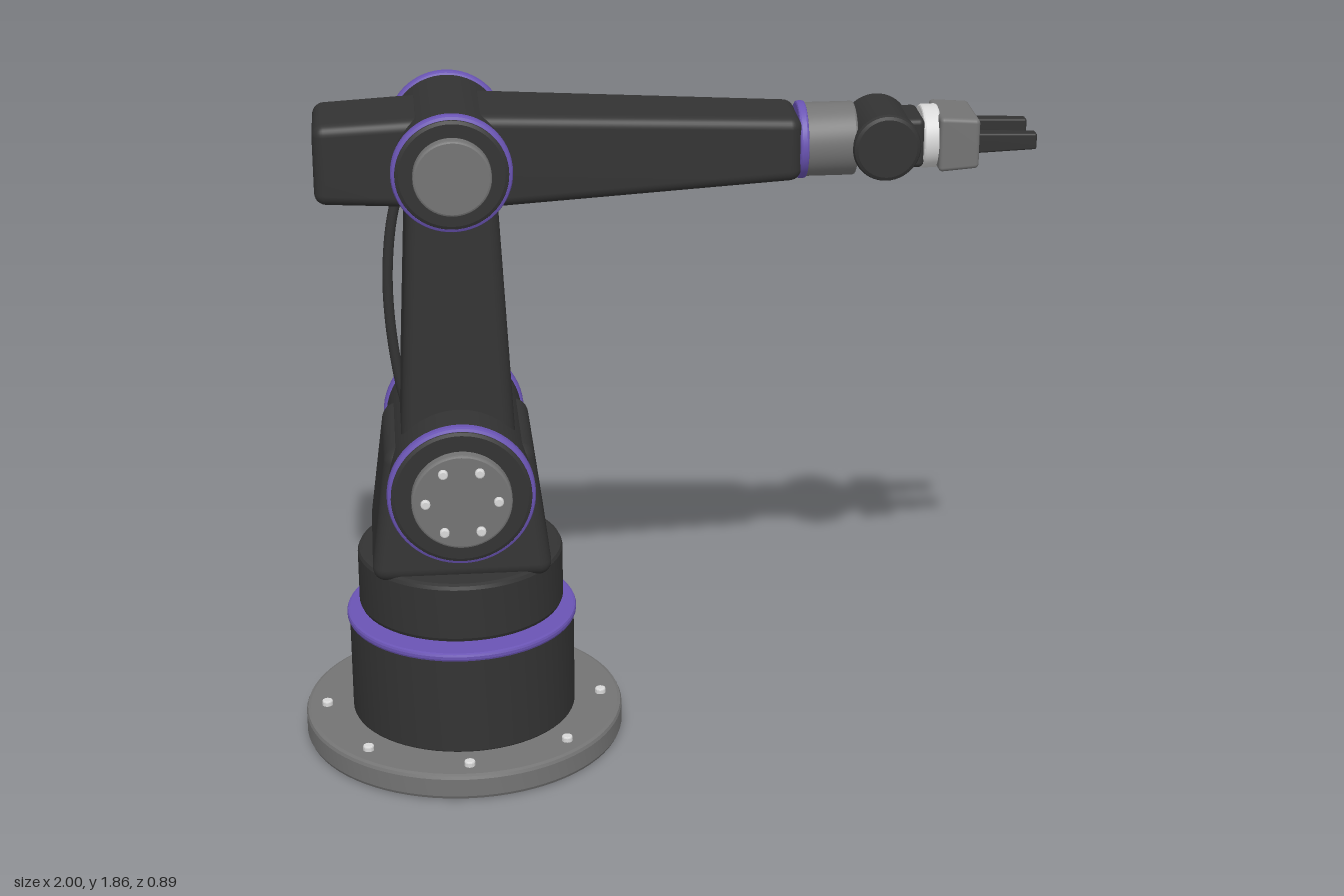
import * as THREE from 'three';
import { mergeVertices, toCreasedNormals } from 'three/addons/utils/BufferGeometryUtils.js';
import { RoundedBoxGeometry } from 'three/addons/geometries/RoundedBoxGeometry.js';

const material = (name, color) => {
  const m = new THREE.MeshStandardMaterial({ color });
  m.name = name;
  return m;
};

export function createModel() {
  const dark = material('charcoal', 0x333333);
  const grey = material('machined grey', 0x747474);
  const purple = material('purple trim', 0x6a54b4);
  const light = material('light metal', 0xd8d8d8);

  const model = new THREE.Group();
  model.name = 'robotArm';
  const X = -0.555; // main vertical axis
  const SHOULDER = 0.84, ELBOW = 1.705;

  function add(name, geometry, mat, x = 0, y = 0, z = 0, parent = model) {
    const mesh = new THREE.Mesh(geometry, mat);
    mesh.name = name;
    mesh.position.set(x, y, z);
    parent.add(mesh);
    return mesh;
  }

  // Solid disc with softened rims, spanning a..b along the chosen axis
  function disc(radius, a, b, bevel = 0.01, axis = 'y', segments = 64) {
    const k = bevel * 0.3;
    const profile = [
      [0, a], [radius - bevel, a], [radius - k, a + k], [radius, a + bevel],
      [radius, b - bevel], [radius - k, b - k], [radius - bevel, b], [0, b],
    ].map(([r, h]) => new THREE.Vector2(r, h));
    const g = new THREE.LatheGeometry(profile, segments);
    if (axis === 'z') g.rotateX(Math.PI / 2);
    if (axis === 'x') g.rotateZ(-Math.PI / 2);
    return toCreasedNormals(g, 0.35);
  }

  // Rounded box whose cross-section changes linearly along its y axis
  function taperedBlock(w0, d0, w1, d1, height, radius) {
    let g = new RoundedBoxGeometry(1, height, 1, 4, radius);
    const p = g.attributes.position;
    const inset = (v, size) => {
      // keep the corner radius while widening the unit box
      const s = Math.sign(v);
      return v + s * (size - 1) / 2;
    };
    for (let i = 0; i < p.count; i++) {
      const t = p.getY(i) / height + 0.5;
      p.setX(i, inset(p.getX(i), w0 + (w1 - w0) * t));
      p.setZ(i, inset(p.getZ(i), d0 + (d1 - d0) * t));
    }
    g.deleteAttribute('normal');
    g.deleteAttribute('uv');
    g.clearGroups();
    g = mergeVertices(g, 1e-4);
    g.computeVertexNormals();
    return g;
  }

  // Horizontal pivot with a trim ring and a cover at each end
  function joint(name, y, radius, half, ringIn, coverRadius, coverEnd) {
    const group = new THREE.Group();
    group.name = name;
    group.position.set(X, y, 0);
    model.add(group);
    add('housing', disc(radius - 0.008, -half, half, 0.012, 'z'), dark, 0, 0, 0, group);
    for (const s of [1, -1]) {
      const span = (a, b) => (s > 0 ? [a, b] : [-b, -a]);
      add('trimRing', disc(radius, ...span(ringIn, half - 0.006), 0.01, 'z'), purple, 0, 0, 0, group);
      add('cover', disc(coverRadius, ...span(half - 0.02, coverEnd), 0.006, 'z'), grey, 0, 0, 0, group);
    }
    return group;
  }

  // Base
  add('basePlate', disc(0.446, 0, 0.075, 0.012, 'y', 80), grey, X);
  for (let i = 0; i < 8; i++) {
    const a = i * Math.PI / 4;
    add('baseBolt', disc(0.015, 0.06, 0.09, 0.004, 'y', 16), light,
      X + 0.387 * Math.cos(a), 0, 0.387 * Math.sin(a));
  }
  add('pedestal', disc(0.313, 0.07, 0.362, 0.008), dark, X);
  add('pedestalRing', disc(0.32, 0.354, 0.378, 0.008), purple, X);
  add('turntable', disc(0.284, 0.394, 0.567, 0.014), dark, X);

  // Shoulder
  add('shoulderBlock', taperedBlock(0.495, 0.435, 0.395, 0.38, 0.38, 0.04), dark, X, 0.737, 0);
  const shoulder = joint('shoulderJoint', SHOULDER, 0.198, 0.314, 0.272, 0.134, 0.344);
  for (let i = 0; i < 6; i++) {
    const a = i * Math.PI / 3;
    add('coverBolt', disc(0.013, 0.335, 0.356, 0.004, 'z', 16), light,
      0.097 * Math.cos(a), 0.097 * Math.sin(a), 0, shoulder);
  }

  // Lower arm and its cable
  add('lowerArm', taperedBlock(0.315, 0.332, 0.232, 0.29, 0.82, 0.035), dark, X, 1.27, 0);
  const path = new THREE.CatmullRomCurve3([
    [-0.685, 0.93], [-0.705, 1.02], [-0.726, 1.2], [-0.727, 1.36], [-0.705, 1.52], [-0.66, 1.64],
  ].map(([x, y]) => new THREE.Vector3(x, y, -0.08)));
  add('cable', new THREE.TubeGeometry(path, 40, 0.014, 12), dark);

  // Elbow and upper arm
  joint('elbowJoint', ELBOW, 0.158, 0.224, 0.184, 0.102, 0.254);
  const rear = taperedBlock(0.255, 0.265, 0.215, 0.25, 0.4, 0.03);
  rear.rotateZ(Math.PI / 2);
  add('counterweight', rear, dark, -0.711, ELBOW, 0);
  const fore = taperedBlock(0.262, 0.276, 0.172, 0.208, 0.94, 0.03);
  fore.rotateZ(-Math.PI / 2);
  add('forearm', fore, dark, -0.1, ELBOW, 0);

  // Wrist
  add('wristRing', disc(0.103, 0.365, 0.389, 0.006, 'x'), purple, 0, ELBOW, 0);
  add('wristSleeve', disc(0.098, 0.38, 0.52, 0.006, 'x', 48), grey, 0, ELBOW, 0);
  add('wristPivot', disc(0.091, -0.11, 0.11, 0.012, 'z', 48), dark, 0.595, ELBOW, 0);
  add('wristBlock', new RoundedBoxGeometry(0.14, 0.135, 0.15, 3, 0.015), dark, 0.63, ELBOW, 0);
  add('toolFlange', disc(0.085, 0.698, 0.745, 0.006, 'x', 48), light, 0, ELBOW, 0);

  // Gripper
  const palm = taperedBlock(0.15, 0.19, 0.135, 0.185, 0.108, 0.012);
  palm.rotateZ(-Math.PI / 2);
  add('gripperPalm', palm, grey, 0.791, ELBOW, 0);
  for (const s of [1, -1]) {
    const finger = taperedBlock(0.056, 0.04, 0.044, 0.034, 0.18, 0.006);
    finger.rotateZ(-Math.PI / 2);
    add(s > 0 ? 'fingerFront' : 'fingerBack', finger, dark, 0.91, ELBOW, s * 0.066);
  }
  return model;
}
